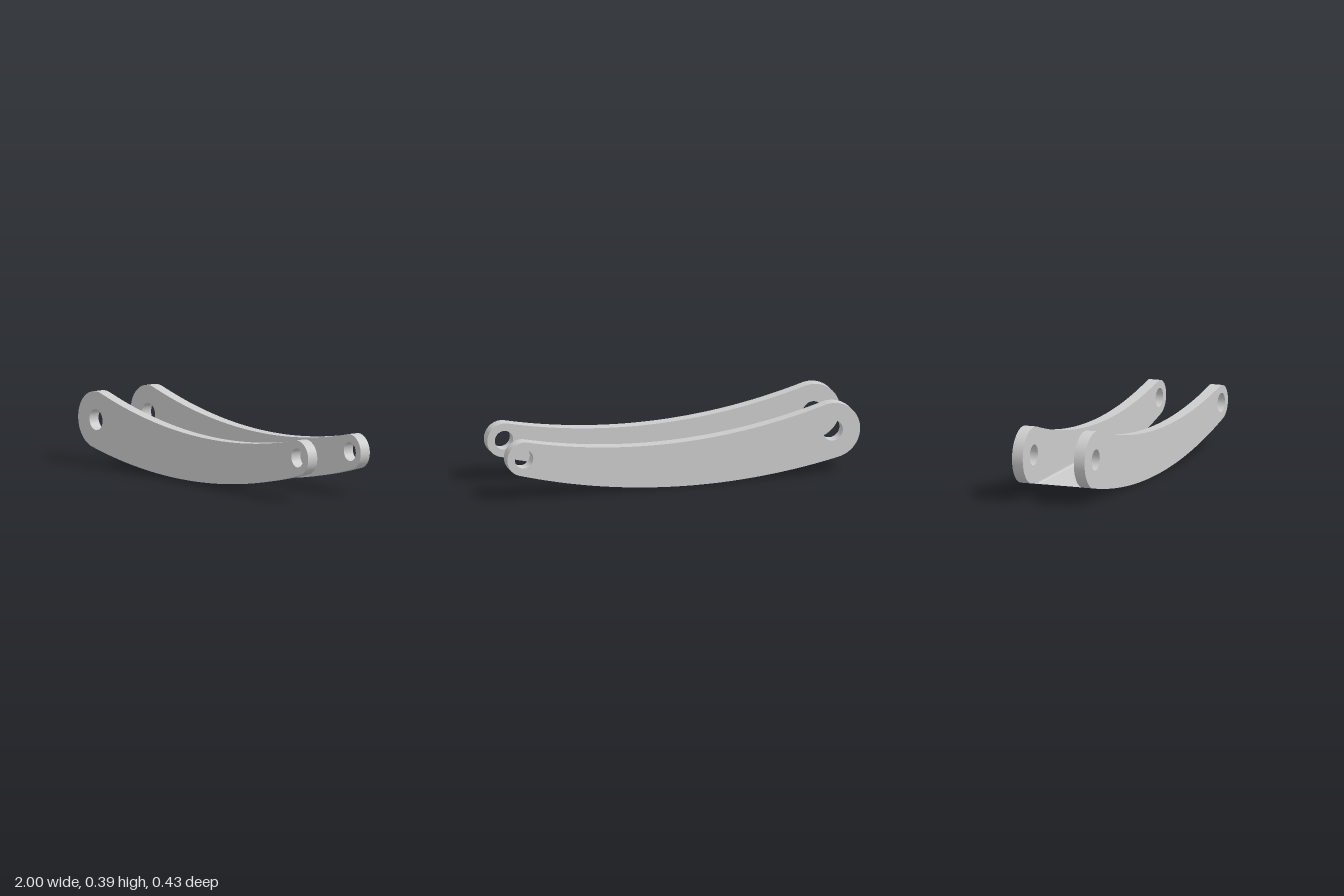
import * as THREE from 'three';

const material = new THREE.MeshStandardMaterial({ color: 0xcccccc });

// Pivot ends of the link and the two long arcs tangent to both
const bigEnd = { x: -0.845, y: 0.237, r: 0.155, hole: 0.057 };
const smallEnd = { x: 0.905, y: 0.237, r: 0.095, hole: 0.052 };
const innerZ = 0.15, plateThickness = 0.063;

// Centre of a circle of radius R tangent to both ends (side -1: wraps them, +1: rests on them)
function tangentCircle(R, side) {
  const d1 = R + side * bigEnd.r, d2 = R + side * smallEnd.r;
  const span = smallEnd.x - bigEnd.x;
  const dx = (d1 * d1 - d2 * d2 + span * span) / (2 * span);
  return { x: bigEnd.x + dx, y: bigEnd.y + Math.sqrt(d1 * d1 - dx * dx), r: R };
}
const lower = tangentCircle(3.66, -1);
const upper = tangentCircle(3.34, 1);
const angle = (from, to) => Math.atan2(to.y - from.y, to.x - from.x);

function addMesh(group, name, geometry) {
  const mesh = new THREE.Mesh(geometry, material);
  mesh.name = name;
  group.add(mesh);
  return mesh;
}

// Curved side plate outline with two pivot holes
function plateShape() {
  const shape = new THREE.Shape();
  const a1 = angle(lower, bigEnd), a2 = angle(lower, smallEnd);
  shape.absarc(lower.x, lower.y, lower.r, a1, a2, false);
  shape.absarc(smallEnd.x, smallEnd.y, smallEnd.r, a2, angle(smallEnd, upper), false);
  shape.absarc(upper.x, upper.y, upper.r, angle(upper, smallEnd), angle(upper, bigEnd), true);
  shape.absarc(bigEnd.x, bigEnd.y, bigEnd.r, angle(bigEnd, upper), a1 + 2 * Math.PI, false);
  for (const end of [bigEnd, smallEnd]) {
    const hole = new THREE.Path();
    hole.absarc(end.x, end.y, end.hole, 0, 2 * Math.PI, true);
    shape.holes.push(hole);
  }
  return shape;
}

export function createModel() {
  const group = new THREE.Group();
  group.name = 'linkArm';

  // Side plates
  const plate = new THREE.ExtrudeGeometry(plateShape(), {
    depth: plateThickness, bevelEnabled: false, curveSegments: 32,
  });
  addMesh(group, 'leftSidePlate', plate).position.z = innerZ;
  addMesh(group, 'rightSidePlate', plate).position.z = -innerZ - plateThickness;

  // Connecting web: flush underside, rounded nose, flat top running out to a thin edge
  const noseR = 0.044, noseX = 0.197;
  const noseDist = lower.r - noseR;
  const nose = { x: noseX, y: lower.y - Math.sqrt(noseDist ** 2 - (noseX - lower.x) ** 2) };
  const tipX = -0.79;
  const tip = { x: tipX, y: lower.y - Math.sqrt(lower.r ** 2 - (tipX - lower.x) ** 2) };
  const toNose = Math.hypot(nose.x - tip.x, nose.y - tip.y);
  const slope = angle(tip, nose) + Math.asin(noseR / toNose);
  const bottomEnd = angle(lower, nose);
  const web = new THREE.Shape();
  web.absarc(lower.x, lower.y, lower.r, angle(lower, tip), bottomEnd, false);
  web.absarc(nose.x, nose.y, noseR, bottomEnd, slope + Math.PI / 2, false);
  web.closePath();
  const webGeometry = new THREE.ExtrudeGeometry(web, {
    depth: 2 * innerZ, bevelEnabled: false, curveSegments: 24,
  });
  addMesh(group, 'connectingWeb', webGeometry).position.z = -innerZ;

  // Small concave fillets where the web top meets the plates
  const f = 0.012;
  const topLength = Math.sqrt(toNose ** 2 - noseR ** 2);
  for (const s of [-1, 1]) {
    const profile = new THREE.Shape();
    profile.moveTo(s * innerZ, 0);
    profile.lineTo(s * innerZ, f);
    profile.quadraticCurveTo(s * innerZ, 0, s * (innerZ - f), 0);
    profile.closePath();
    const geometry = new THREE.ExtrudeGeometry(profile, {
      depth: topLength, bevelEnabled: false, curveSegments: 6,
    });
    geometry.rotateY(Math.PI / 2).rotateZ(slope);
    addMesh(group, s < 0 ? 'leftFillet' : 'rightFillet', geometry).position.set(tip.x, tip.y, 0);
  }
  return group;
}
